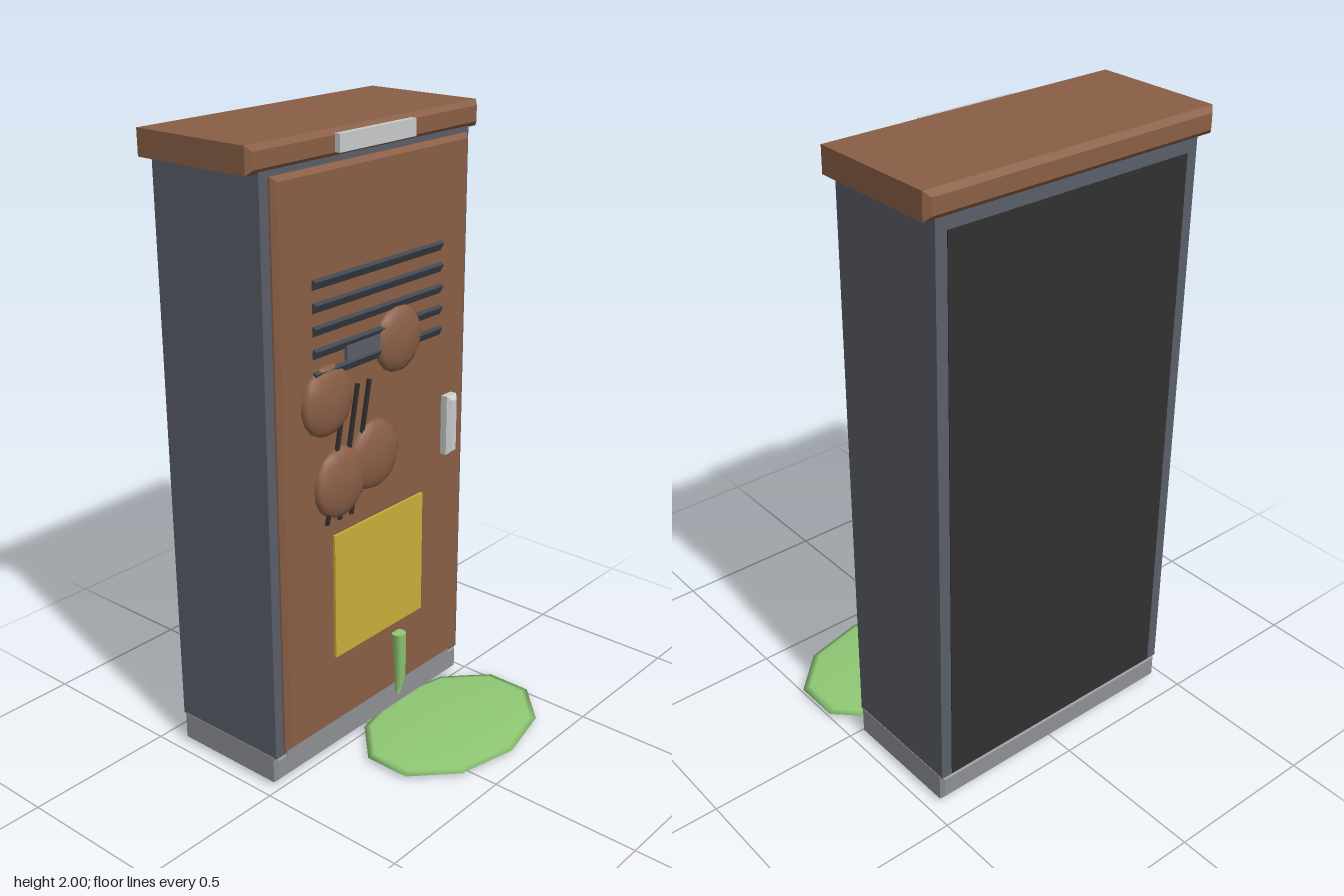
import * as THREE from 'three';

const material = (name, color) => {
  const m = new THREE.MeshStandardMaterial({ color });
  m.name = name;
  return m;
};

// Box with a single flat chamfer on every edge
function chamferBox(w, h, d, c) {
  const x = w / 2 - c, y = h / 2 - c;
  const s = new THREE.Shape([
    new THREE.Vector2(-x, -y), new THREE.Vector2(x, -y),
    new THREE.Vector2(x, y), new THREE.Vector2(-x, y),
  ]);
  const g = new THREE.ExtrudeGeometry(s, {
    depth: d - 2 * c, bevelEnabled: true, bevelSize: c, bevelThickness: c, bevelSegments: 1,
  });
  return g.translate(0, 0, -(d - 2 * c) / 2);
}

export function createModel() {
  const wood = material('brown', 0x8a5f46);
  const steel = material('slate grey', 0x5a5e68);
  const plinthGrey = material('plinth grey', 0x8e9095);
  const backDark = material('back panel dark', 0x303030);
  const slatDark = material('vent dark', 0x434850);
  const scratchDark = material('scratch dark', 0x2f2d2c);
  const pale = material('pale metal', 0xc8cacb);
  const yellow = material('notice yellow', 0xc9ae38);
  const green = material('slime green', 0x90c975);

  const model = new THREE.Group();
  model.name = 'cabinet';
  const add = (name, geometry, mat, x, y, z, parent = model) => {
    const mesh = new THREE.Mesh(geometry, mat);
    mesh.name = name;
    mesh.position.set(x, y, z);
    parent.add(mesh);
    return mesh;
  };
  const group = (name) => {
    const g = new THREE.Group();
    g.name = name;
    model.add(g);
    return g;
  };

  // Cabinet carcass
  add('body', new THREE.BoxGeometry(0.914, 1.82, 0.414), steel, 0, 1.015, -0.217);
  add('plinth', chamferBox(0.918, 0.09, 0.418, 0.012), plinthGrey, 0, 0.063, -0.217);
  add('plinthPanel', new THREE.BoxGeometry(0.82, 0.05, 0.006), plinthGrey, 0, 0.108, -0.009);
  add('backPanel', new THREE.BoxGeometry(0.84, 1.77, 0.004), backDark, 0, 0.993, -0.4245);
  add('top', chamferBox(1, 0.08, 0.447, 0.016), wood, 0, 1.96, -0.2235);
  add('nameplate', new THREE.BoxGeometry(0.333, 0.052, 0.02), pale, 0, 1.963, 0.009);

  // Door and its fittings
  add('door', chamferBox(0.86, 1.785, 0.034, 0.014), wood, 0, 1.018, 0.001);
  add('handle', chamferBox(0.048, 0.2, 0.05, 0.014), pale, 0.324, 1.0, 0.037);
  add('notice', new THREE.BoxGeometry(0.423, 0.42, 0.009), yellow, -0.003, 0.583, 0.0225);
  add('smallPlate', new THREE.BoxGeometry(0.15, 0.046, 0.012), steel, -0.08, 1.358, 0.024);

  // Tilted vent slats
  const vents = group('vents');
  for (let i = 0; i < 5; i++) {
    const slat = add('slat', new THREE.BoxGeometry(0.58, 0.028, 0.014), slatDark, 0, 1.59 - i * 0.0675, 0.021, vents);
    slat.rotation.x = 0.5;
  }

  // Three slanted scratches
  const scratches = group('scratches');
  for (const x of [-0.2, -0.145, -0.092]) {
    const scratch = add('scratch', new THREE.BoxGeometry(0.013, 0.42, 0.01), scratchDark, x, 1.045, 0.022, scratches);
    scratch.rotation.z = -0.205;
  }

  // Flattened round stains
  const stains = group('stains');
  for (const [x, y, r, turn] of [
    [-0.234, 1.233, 0.11, 0.1], [0.088, 1.344, 0.106, 0.5],
    [-0.18, 0.96, 0.114, 0.3], [-0.025, 1.002, 0.113, 0.8],
  ]) {
    const stain = add('stain', new THREE.SphereGeometry(1, 12, 8), wood, x, y, 0.018, stains);
    stain.scale.set(r, r, 0.034);
    stain.rotation.z = turn;
  }

  // Slime drip: a tapering bent column
  const levels = [[0.335, 0.084, 0.034, 0.025], [0.25, 0.09, 0.034, 0.021], [0.165, 0.096, 0.032, 0.018], [0.1, 0.09, 0.028, 0.009]];
  const dripGeo = new THREE.CylinderGeometry(1, 1, 1, 8, 3);
  const pos = dripGeo.attributes.position;
  for (let i = 0; i < pos.count; i++) {
    const [y, cx, cz, r] = levels[Math.round((0.5 - pos.getY(i)) * 3)];
    pos.setXYZ(i, cx + pos.getX(i) * r, y, cz + pos.getZ(i) * r);
  }
  dripGeo.computeVertexNormals();
  add('drip', dripGeo, green, 0, 0, 0);

  // Slime puddle: a ten-sided flattened dome
  const puddle = new THREE.SphereGeometry(1, 10, 8).rotateY(Math.PI / 10).scale(0.35, 0.014, 0.25);
  add('puddle', puddle, green, 0.167, 0.0145, 0.193);

  return model;
}
